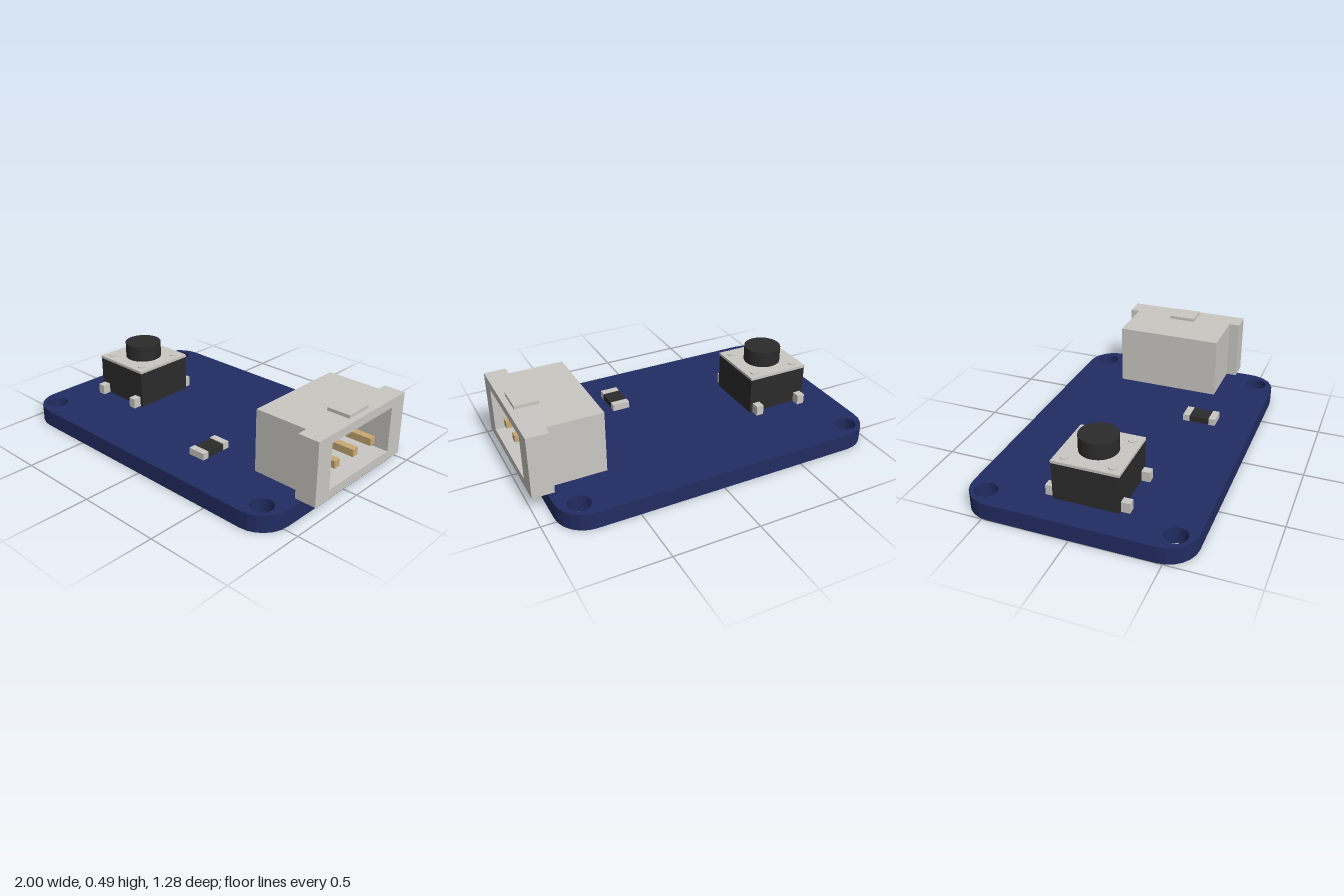
import * as THREE from 'three';

const material = (name, color) => {
  const m = new THREE.MeshStandardMaterial({ color });
  m.name = name;
  return m;
};

export function createModel() {
  const blue = material('board blue', 0x222c62);
  const grey = material('light grey', 0xc9c8c3);
  const black = material('black', 0x2b2b2b);
  const gold = material('pin gold', 0xc9aa74);
  const model = new THREE.Group();

  const add = (name, geometry, mat, parent = model) => {
    const mesh = new THREE.Mesh(geometry, mat);
    mesh.name = name;
    parent.add(mesh);
    return mesh;
  };
  const group = (name) => {
    const g = new THREE.Group();
    g.name = name;
    model.add(g);
    return g;
  };
  // Box given by its limits on each axis
  const box = (name, mat, [x0, x1], [y0, y1], [z0, z1], parent) => {
    const mesh = add(name, new THREE.BoxGeometry(x1 - x0, y1 - y0, z1 - z0), mat, parent);
    mesh.position.set((x0 + x1) / 2, (y0 + y1) / 2, (z0 + z1) / 2);
    return mesh;
  };
  const disc = (name, mat, r, x, z, [y0, y1], parent) => {
    const mesh = add(name, new THREE.CylinderGeometry(r, r, y1 - y0, 32), mat, parent);
    mesh.position.set(x, (y0 + y1) / 2, z);
  };

  // Circuit board with rounded corners and four mounting holes
  const L = -1, R = 0.915, H = 0.64, r = 0.17, T = 0.1;
  const outline = new THREE.Shape();
  outline.absarc(R - r, H - r, r, 0, Math.PI / 2);
  outline.absarc(L + r, H - r, r, Math.PI / 2, Math.PI);
  outline.absarc(L + r, -H + r, r, Math.PI, Math.PI * 1.5);
  outline.absarc(R - r, -H + r, r, Math.PI * 1.5, Math.PI * 2);
  outline.closePath();
  for (const x of [-0.883, 0.796]) for (const z of [-0.53, 0.53]) {
    const points = [];
    for (let i = 0; i < 28; i++) {
      const a = -i / 28 * Math.PI * 2;
      points.push(new THREE.Vector2(x + 0.064 * Math.cos(a), z + 0.064 * Math.sin(a)));
    }
    outline.holes.push(new THREE.Path(points));
  }
  const board = new THREE.ExtrudeGeometry(outline, { depth: T, bevelEnabled: false, curveSegments: 3 });
  board.rotateX(-Math.PI / 2);
  add('board', board, blue);

  // Push button: body, cover plate, rivets, plunger and legs
  const button = group('pushButton');
  const cx = -0.635, cz = 0.02;
  box('buttonBody', black, [-0.823, -0.447], [T, 0.32], [-0.168, 0.208], button);
  box('buttonCover', grey, [-0.825, -0.445], [0.32, 0.336], [-0.17, 0.21], button);
  disc('plunger', black, 0.11, cx, cz, [0.336, 0.43], button);
  for (const sx of [-1, 1]) for (const sz of [-1, 1]) {
    disc('rivet', grey, 0.025, cx + sx * 0.135, cz + sz * 0.135, [0.33, 0.342], button);
    const x = cx + sx * 0.147, z = cz + sz * 0.21;
    box('buttonLeg', grey, [x - 0.023, x + 0.023], [T, 0.16], [z - 0.028, z + 0.028], button);
  }

  // Small surface-mount resistor
  const resistor = group('resistor');
  box('resistorBody', black, [0.182, 0.283], [T, 0.136], [0.255, 0.385], resistor);
  box('resistorEnd', grey, [0.18, 0.285], [T, 0.141], [0.22, 0.26], resistor);
  box('resistorEnd', grey, [0.18, 0.285], [T, 0.141], [0.38, 0.42], resistor);

  // Connector shell: hollow sleeve and wider rim around one cavity
  const connector = group('connector');
  const top = 0.466;
  const rectangle = (Type, z0, z1, y0, y1) => new Type([
    [-z1, y0], [-z0, y0], [-z0, y1], [-z1, y1],
  ].map(([a, b]) => new THREE.Vector2(a, b)));
  const frame = (name, x0, x1, z0, z1) => {
    const shape = rectangle(THREE.Shape, z0, z1, T, top);
    shape.holes.push(rectangle(THREE.Path, -0.27, 0.26, 0.152, 0.416));
    const geometry = new THREE.ExtrudeGeometry(shape, { depth: x1 - x0, bevelEnabled: false });
    geometry.rotateY(Math.PI / 2);
    add(name, geometry, grey, connector).position.x = x0;
  };
  box('connectorBack', grey, [0.557, 0.61], [T, top], [-0.33, 0.307], connector);
  frame('connectorSleeve', 0.61, 0.875, -0.33, 0.307);
  frame('connectorRim', 0.875, 1, -0.387, 0.37);
  box('connectorTab', grey, [0.828, 0.965], [top, 0.485], [-0.092, 0.073], connector);
  for (const z of [-0.167, -0.007, 0.153])
    box('pin', gold, [0.6, 0.965], [0.222, 0.264], [z - 0.021, z + 0.021], connector);

  return model;
}
